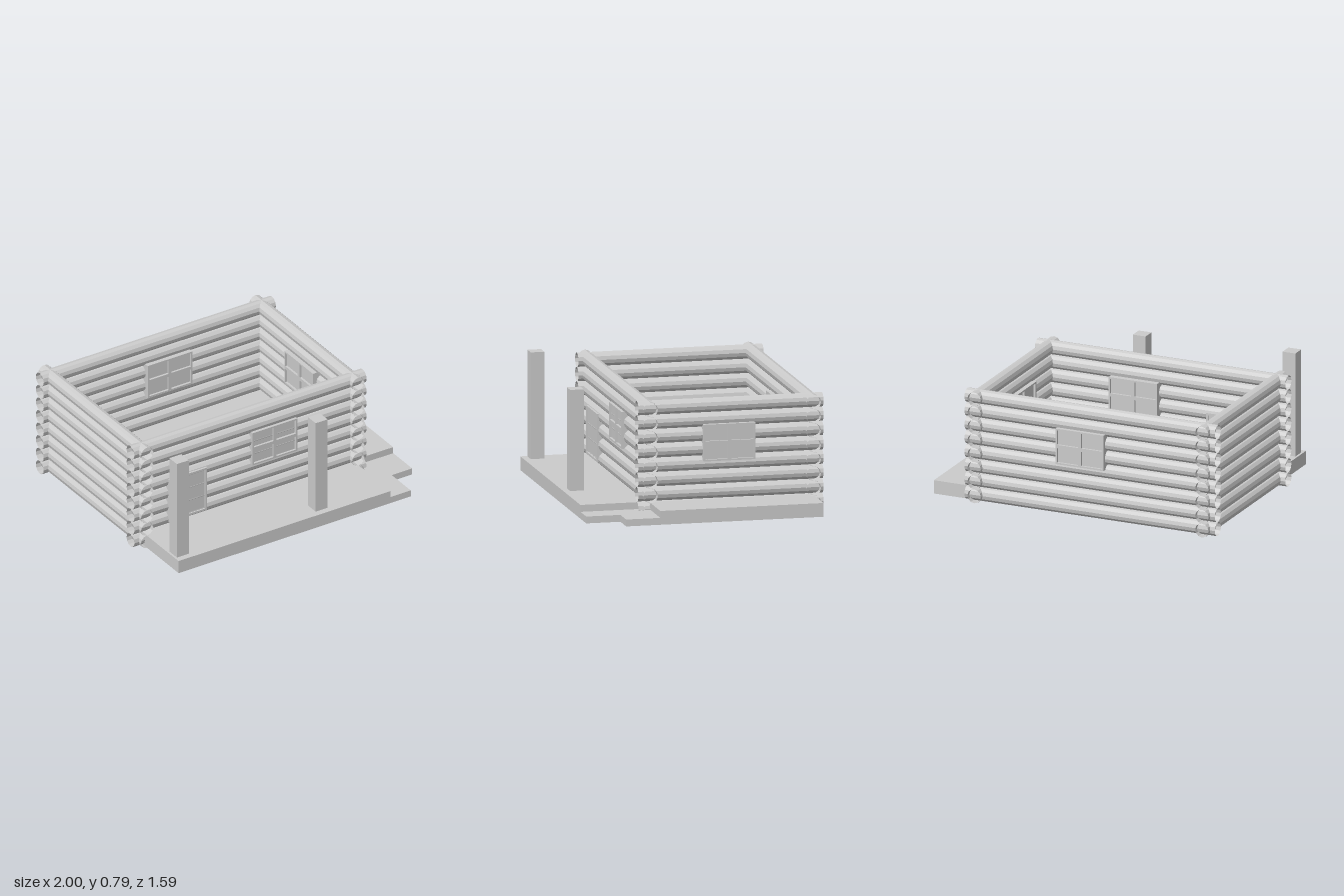
import * as THREE from 'three';

const grey = new THREE.MeshStandardMaterial({ color: 0xcccccc, flatShading: true });
const thin = new THREE.MeshStandardMaterial({ color: 0xcccccc, flatShading: true, side: THREE.DoubleSide });

// Box given by its minimum and maximum corners
function box(parent, name, [x0, y0, z0], [x1, y1, z1]) {
  const m = new THREE.Mesh(new THREE.BoxGeometry(x1 - x0, y1 - y0, z1 - z0), grey);
  m.position.set((x0 + x1) / 2, (y0 + y1) / 2, (z0 + z1) / 2);
  m.name = name;
  parent.add(m);
  return m;
}

// Rectangular frame with openings, extruded through the wall, plus a recessed panel
function framed(name, w, h, depth, border, bar, cols, rows, recess) {
  const g = new THREE.Group();
  g.name = name;
  const rect = (S, x, y, a, b) => new S([
    new THREE.Vector2(x, y), new THREE.Vector2(x + a, y),
    new THREE.Vector2(x + a, y + b), new THREE.Vector2(x, y + b)]);
  const shape = rect(THREE.Shape, -w / 2, -h / 2, w, h);
  const pw = (w - 2 * border - (cols - 1) * bar) / cols;
  const ph = (h - 2 * border - (rows - 1) * bar) / rows;
  for (let i = 0; i < cols; i++)
    for (let j = 0; j < rows; j++)
      shape.holes.push(rect(THREE.Path,
        -w / 2 + border + i * (pw + bar), -h / 2 + border + j * (ph + bar), pw, ph));
  const geo = new THREE.ExtrudeGeometry(shape, { depth, bevelEnabled: false });
  geo.translate(0, 0, -depth / 2);
  const frame = new THREE.Mesh(geo, grey);
  frame.name = name + 'Frame';
  g.add(frame);
  const d = depth / 2 - recess;
  box(g, name + 'Panel', [-w / 2 + border / 2, -h / 2 + border / 2, -d], [w / 2 - border / 2, h / 2 - border / 2, d]);
  return g;
}

export function createModel() {
  const cabin = new THREE.Group();
  cabin.name = 'logCabin';

  // Four walls of stacked logs crossing at the corners
  const R = 0.047, PITCH = 0.0937, COUNT = 8;
  const log = (wall, name, len, x, y, z, alongX) => {
    const geo = new THREE.CylinderGeometry(R, R, len, 12, 1, true);
    if (alongX) geo.rotateZ(Math.PI / 2);
    else geo.rotateX(Math.PI / 2);
    const m = new THREE.Mesh(geo, thin);
    m.position.set(x, y, z);
    m.name = name;
    wall.add(m);
  };
  const walls = [
    ['frontWall', 1.765, -0.1175, 0.35, true],
    ['backWall', 1.765, -0.1175, -0.725, true],
    ['leftWall', 1.22, 0.685, -0.187, false],
    ['rightWall', 1.22, -0.92, -0.187, false],
  ];
  for (const [name, len, x, z, alongX] of walls) {
    const wall = new THREE.Group();
    wall.name = name;
    for (let i = 0; i < COUNT; i++) log(wall, 'log', len, x, R + i * PITCH, z, alongX);
    cabin.add(wall);
  }

  // Floor, porch and the lower corner step
  const T = 0.09, H = 0.045;
  box(cabin, 'floor', [-0.92, 0, -0.73], [1, T, 0.345]);
  box(cabin, 'porch', [-0.92, 0, 0.345], [0.69, T, 0.795]);
  const step = new THREE.Group();
  step.name = 'cornerStep';
  box(step, 'stepSide', [0.69, 0, 0.345], [1, H, 0.57]);
  box(step, 'stepFront', [0.69, 0, 0.57], [0.845, H, 0.795]);
  cabin.add(step);

  // Porch posts
  box(cabin, 'postRight', [-0.905, T, 0.662], [-0.815, 0.787, 0.752]);
  box(cabin, 'postCentre', [0.15, T, 0.662], [0.24, 0.75, 0.752]);

  // Windows and door
  const place = (part, x, y, z, turn = 0) => {
    part.position.set(x, y, z);
    part.rotation.y = turn;
    cabin.add(part);
  };
  const pane = (name) => framed(name, 0.34, 0.24, 0.14, 0.011, 0.022, 2, 2, 0.015);
  place(pane('frontWindow'), 0.06, 0.467, 0.341);
  place(pane('backWindow'), -0.055, 0.467, -0.723);
  place(pane('leftWindow'), 0.683, 0.467, -0.172, Math.PI / 2);
  place(framed('door', 0.288, 0.315, 0.13, 0.014, 0, 1, 1, 0.01), -0.597, 0.283, 0.341);

  return cabin;
}
